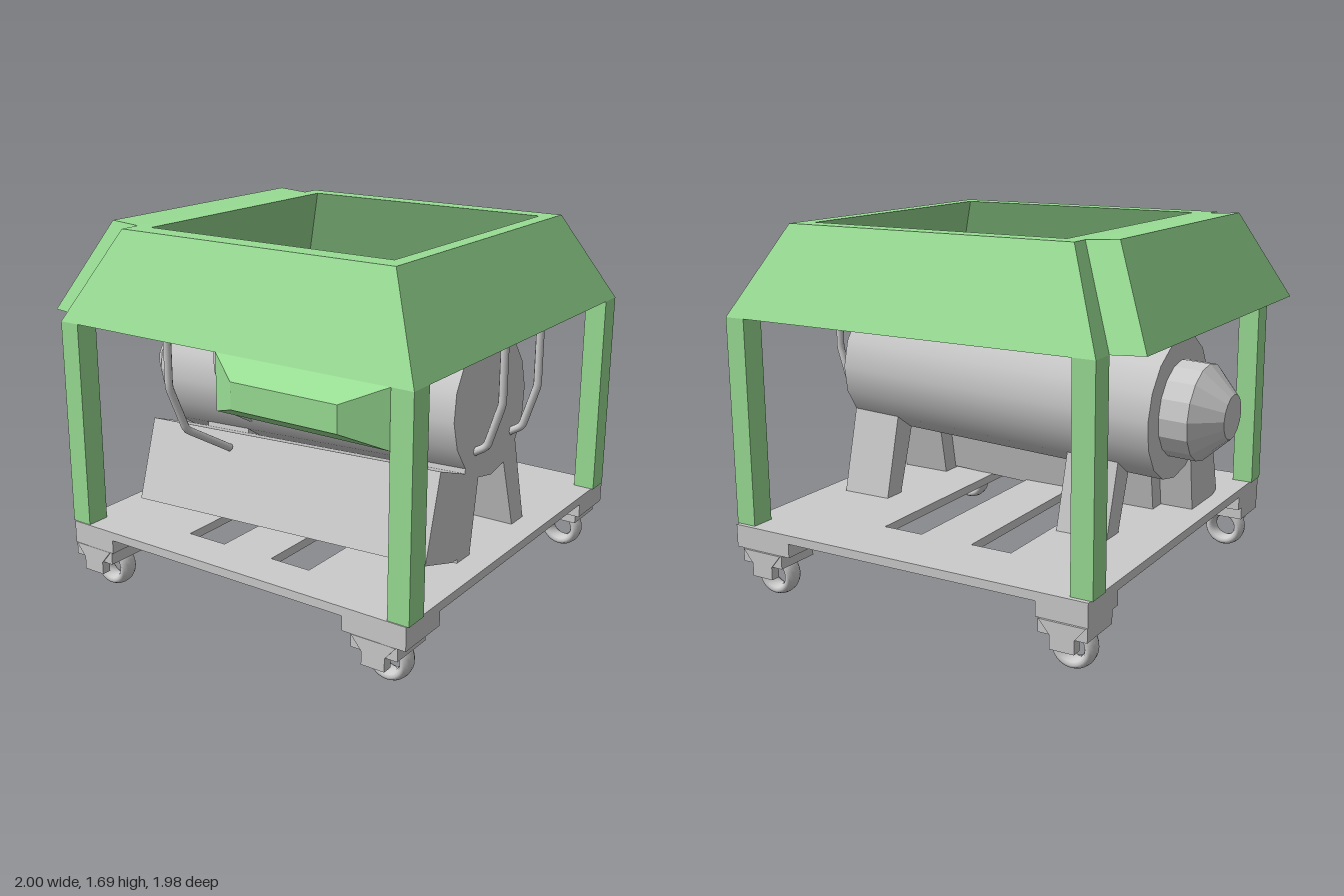
import * as THREE from 'three';

const grey = new THREE.MeshStandardMaterial({ color: 0xcccccc });
const greyFlat = new THREE.MeshStandardMaterial({ color: 0xcccccc, flatShading: true });
const green = new THREE.MeshStandardMaterial({ color: 0x99dd94, flatShading: true });

function add(parent, name, geometry, material) {
  const mesh = new THREE.Mesh(geometry, material);
  mesh.name = name;
  parent.add(mesh);
  return mesh;
}

// Box from its limits on each axis
function box(x0, x1, y0, y1, z0, z1) {
  return new THREE.BoxGeometry(x1 - x0, y1 - y0, z1 - z0)
    .translate((x0 + x1) / 2, (y0 + y1) / 2, (z0 + z1) / 2);
}

// Closed loft through rectangles [x0, x1, z0, z1, y at x0, y at x1 if different]
function loft(rings) {
  const pos = [];
  const idx = [];
  rings.forEach(([x0, x1, z0, z1, y0, y1 = y0]) => pos.push(x0, y0, z1, x1, y1, z1, x1, y1, z0, x0, y0, z0));
  for (let r = 0; r < rings.length - 1; r++) {
    for (let i = 0; i < 4; i++) {
      const a = r * 4 + i, b = r * 4 + (i + 1) % 4;
      idx.push(a, b, b + 4, a, b + 4, a + 4);
    }
  }
  const e = (rings.length - 1) * 4;
  idx.push(0, 2, 1, 0, 3, 2, e, e + 1, e + 2, e, e + 2, e + 3);
  const g = new THREE.BufferGeometry();
  g.setAttribute('position', new THREE.Float32BufferAttribute(pos, 3));
  g.setIndex(idx);
  const flat = g.toNonIndexed();
  flat.computeVertexNormals();
  return flat;
}

// Prism along x from a [z, y] outline
function prismX(points, x0, x1) {
  const shape = new THREE.Shape(points.map(([z, y]) => new THREE.Vector2(-z, y)));
  return new THREE.ExtrudeGeometry(shape, { depth: x1 - x0, bevelEnabled: false })
    .rotateY(Math.PI / 2).translate(x0, 0, 0);
}

// Bent rod made of straight runs with short rounded corners
function rod(points) {
  const path = new THREE.CurvePath();
  const p = points.map((q) => new THREE.Vector3(...q));
  for (let i = 0; i < p.length - 1; i++) {
    const dir = p[i + 1].clone().sub(p[i]).normalize();
    const a = i ? p[i].clone().addScaledVector(dir, 0.02) : p[i];
    const b = i < p.length - 2 ? p[i + 1].clone().addScaledVector(dir, -0.02) : p[i + 1];
    path.add(new THREE.LineCurve3(a, b));
    if (i < p.length - 2) {
      const next = p[i + 2].clone().sub(p[i + 1]).normalize();
      path.add(new THREE.QuadraticBezierCurve3(b, p[i + 1], p[i + 1].clone().addScaledVector(next, 0.02)));
    }
  }
  return new THREE.TubeGeometry(path, 48, 0.018, 10, false);
}

function buildCanopy(root) {
  const canopy = new THREE.Group();
  canopy.name = 'canopy';
  root.add(canopy);
  // Hollow roof: sloped walls of even thickness, open at the top, with a thin floor
  add(canopy, 'roof', loft([
    [-0.81, 1.0, -0.96, 0.88, 1.28],
    [-0.61, 0.79, -0.76, 0.68, 1.68],
    [-0.53, 0.72, -0.67, 0.58, 1.68],
    [-0.73, 0.92, -0.87, 0.78, 1.285],
  ]), green);
  // Thick panel lying on the side slope
  add(canopy, 'sidePanel', loft([
    [-0.965, -0.81, -0.85, 0.76, 1.29, 1.28],
    [-0.76, -0.61, -0.67, 0.58, 1.69, 1.68],
  ]), green);
  // Bevelled panel on the front, lofted towards +z
  add(canopy, 'frontPanel', loft([
    [0.065, 0.9, -1.28, -1.03, 0.875],
    [0.23, 0.735, -1.21, -1.095, 0.985],
  ]).rotateX(Math.PI / 2), green);
  for (const x of [-0.81, 0.9]) {
    for (const z of [-0.96, 0.77]) {
      add(canopy, 'post', box(x, x + 0.1, 0.335, 1.28, z, z + 0.11), green);
    }
  }
}

function buildBase(root) {
  // Base plate with two long slots
  const rect = (S, x0, x1, z0, z1) => new S([[x0, -z1], [x1, -z1], [x1, -z0], [x0, -z0]]
    .map(([x, y]) => new THREE.Vector2(x, y)));
  const plate = rect(THREE.Shape, -0.8, 0.99, -0.98, 0.885);
  plate.holes.push(rect(THREE.Path, -0.27, -0.07, -0.67, 0.69), rect(THREE.Path, 0.19, 0.39, -0.67, 0.69));
  add(root, 'basePlate', new THREE.ExtrudeGeometry(plate, { depth: 0.04, bevelEnabled: false })
    .rotateX(-Math.PI / 2).translate(0, 0.295, 0), greyFlat);

  // Stepped corner blocks, tapered fork plates and ring wheels
  for (const [cx, bx0, bx1] of [[-0.69, -0.8, -0.565], [0.84, 0.69, 0.99]]) {
    for (const s of [1, -1]) {
      const caster = new THREE.Group();
      caster.name = 'caster';
      root.add(caster);
      const zone = (out, inner) => [Math.min(out, inner), Math.max(out, inner)];
      const out = s > 0 ? 0.885 : -0.98;
      const rim = s > 0 ? 0.88 : -0.985;
      add(caster, 'cornerBlock', box(bx0, bx1, 0.23, 0.295, ...zone(out, out - s * 0.26)), greyFlat);
      add(caster, 'mount', box(cx - 0.11, cx + 0.11, 0.17, 0.23, ...zone(rim, rim - s * 0.215)), greyFlat);
      const fork = new THREE.Shape([[-0.105, 0.23], [-0.055, 0.17], [-0.055, 0.11], [0.055, 0.11],
        [0.055, 0.17], [0.105, 0.23]].map(([x, y]) => new THREE.Vector2(cx + x, y)));
      add(caster, 'fork', new THREE.ExtrudeGeometry(fork, { depth: 0.045, bevelEnabled: false })
        .translate(0, 0, s > 0 ? 0.842 : -0.99), greyFlat);
      const wheel = add(caster, 'wheel', new THREE.TorusGeometry(0.075, 0.024, 12, 32).scale(1, 1, 1.85), grey);
      wheel.position.set(cx, 0.1, s > 0 ? 0.745 : -0.875);
    }
  }
}

function buildDrum(root) {
  // Origin at the drum's right end; the whole machine tilts down to -x
  const drum = new THREE.Group();
  drum.name = 'drum';
  drum.position.set(0.84, 0.963, -0.035);
  drum.rotation.z = Math.atan(0.045);
  root.add(drum);
  const along = (r0, r1, x0, x1, n) => new THREE.CylinderGeometry(r1, r0, x1 - x0, n)
    .rotateZ(-Math.PI / 2).translate((x0 + x1) / 2, 0, 0);
  add(drum, 'barrel', along(0.323, 0.323, -1.59, 0, 16), grey);
  add(drum, 'neck', along(0.217, 0.217, -1.72, -1.58, 16), greyFlat);
  add(drum, 'nose', along(0.1, 0.217, -1.84, -1.72, 16), greyFlat);
  // Splayed support legs in two pairs
  for (const s of [1, -1]) {
    const outline = [[0.105, -0.25], [0.2, -0.63], [0.31, -0.63], [0.225, -0.2]].map(([z, y]) => [z * s, y]);
    for (const x of [-0.25, -1.42]) {
      add(drum, 'supportLeg', prismX(outline, x, x + 0.25), greyFlat);
    }
  }
  // Long leaning housing at the front, resting against the legs
  add(drum, 'housing', prismX([[0.435, -0.175], [0.2, -0.26], [0.285, -0.61], [0.345, -0.612], [0.57, -0.542]],
    -1.58, 0), greyFlat);
}

function buildRods(root) {
  // Two rods on the front, two on the right end
  for (const z of [0, -0.33]) {
    add(root, 'frontRod', rod([[-0.335, 1.3, 0.72 + z], [-0.335, 1.02, 0.72 + z],
      [-0.31, 0.81, 0.645 + z], [-0.24, 0.675, 0.43 + z]]), grey);
    add(root, 'endRod', rod([[0.965, 1.28, 0.105 + z], [0.965, 1.02, 0.105 + z],
      [0.9, 0.82, 0.105 + z], [0.8, 0.76, 0.105 + z]]), grey);
  }
}

export function createModel() {
  const root = new THREE.Group();
  root.name = 'wheeledMachine';
  buildCanopy(root);
  buildBase(root);
  buildDrum(root);
  buildRods(root);
  return root;
}
